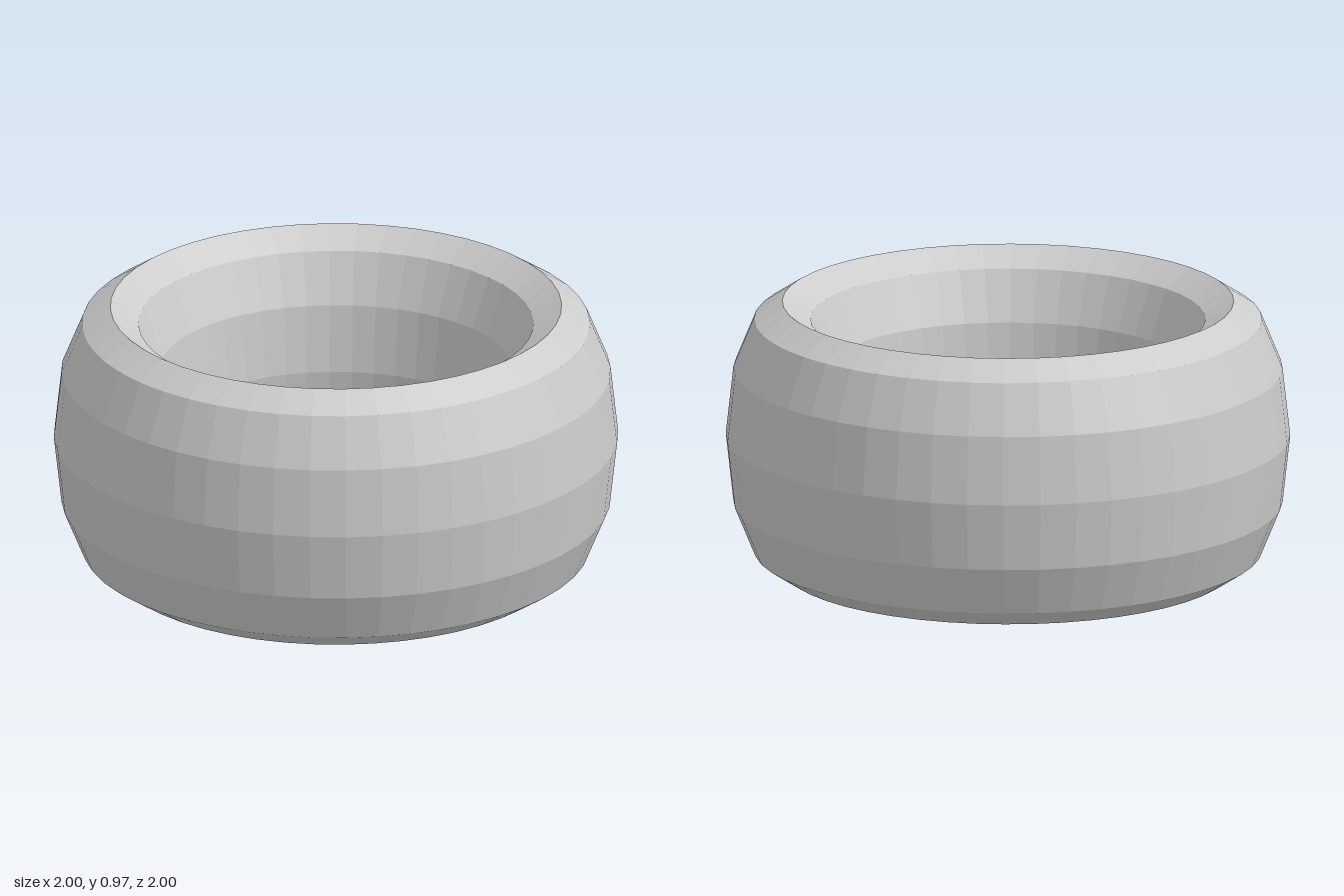
import * as THREE from 'three';

export function createModel() {
  const group = new THREE.Group();
  group.name = 'ring';

  // Faceted band: a twelve-sided tube swept round, stretched along the ring's axis
  const tubeRadius = 0.2;
  const halfHeight = 0.487;
  const geometry = new THREE.TorusGeometry(0.8, tubeRadius, 12, 48);
  geometry.rotateX(-Math.PI / 2);
  geometry.scale(1, halfHeight / tubeRadius, 1);
  geometry.translate(0, halfHeight, 0);

  const material = new THREE.MeshStandardMaterial({ color: 0xcccccc, flatShading: true });
  const band = new THREE.Mesh(geometry, material);
  band.name = 'band';
  group.add(band);
  return group;
}
